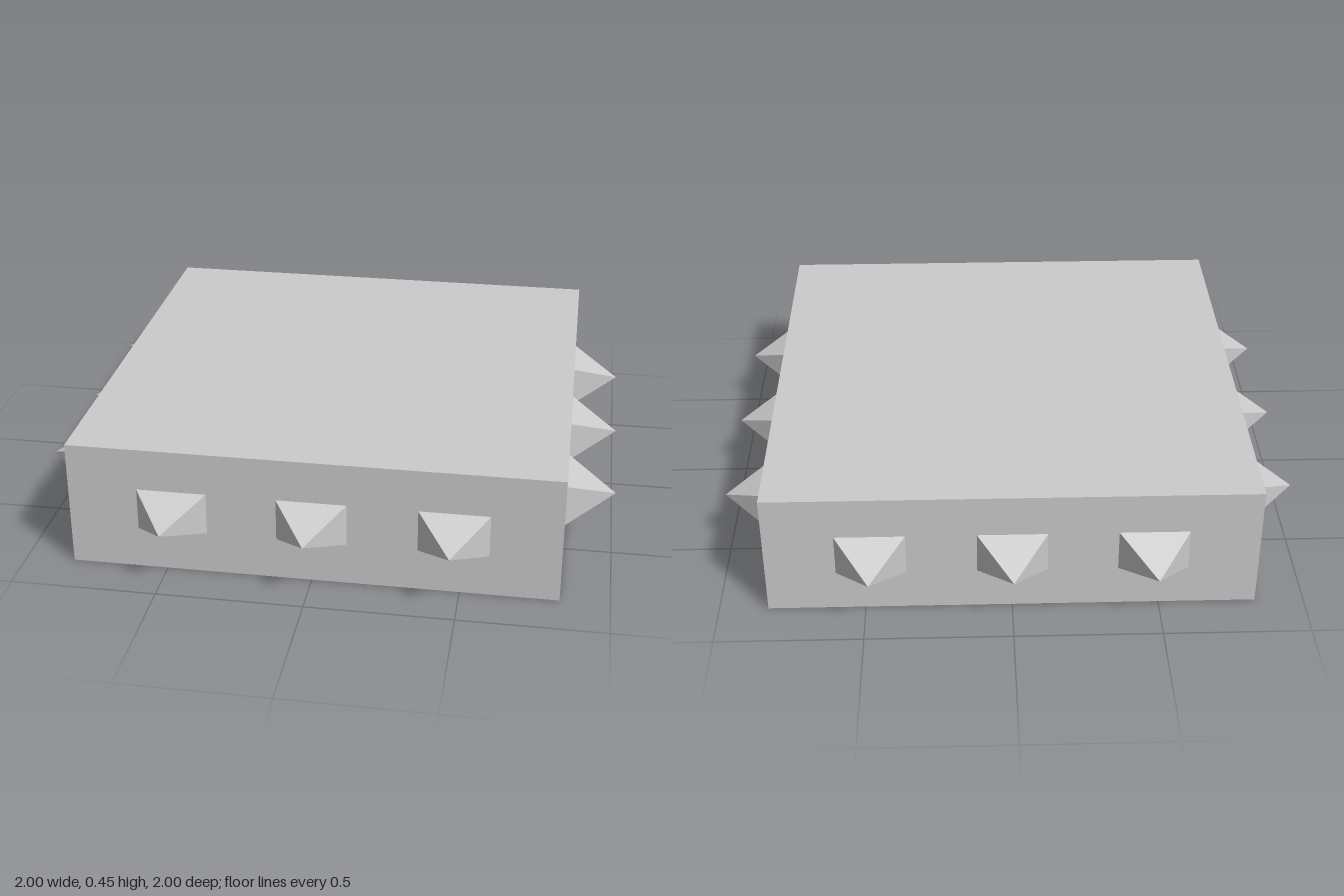
import * as THREE from 'three';

export function createModel() {
  const model = new THREE.Group();
  model.name = 'spikedSlab';
  const material = new THREE.MeshStandardMaterial({ color: 0xcccccc, flatShading: true });

  const half = 0.833;
  const height = 0.447;

  // Square slab
  const slab = new THREE.Mesh(new THREE.BoxGeometry(2 * half, height, 2 * half), material);
  slab.name = 'slab';
  slab.position.y = height / 2;
  model.add(slab);

  // Four-sided spike with a rectangular base, pointing along +z
  const spikeGeometry = new THREE.ConeGeometry(Math.SQRT1_2, 1, 4, 1, true)
    .rotateY(Math.PI / 4)
    .rotateX(Math.PI / 2)
    .translate(0, 0, 0.5)
    .scale(0.238, 0.149, 1 - half);

  // Three spikes on each of the four sides
  ['front', 'left', 'back', 'right'].forEach((sideName, i) => {
    const row = new THREE.Group();
    row.name = `${sideName}Spikes`;
    row.rotation.y = (i * Math.PI) / 2;
    for (const x of [-0.476, 0, 0.476]) {
      const spike = new THREE.Mesh(spikeGeometry, material);
      spike.name = 'spike';
      spike.position.set(x, height / 2, half);
      row.add(spike);
    }
    model.add(row);
  });

  return model;
}
